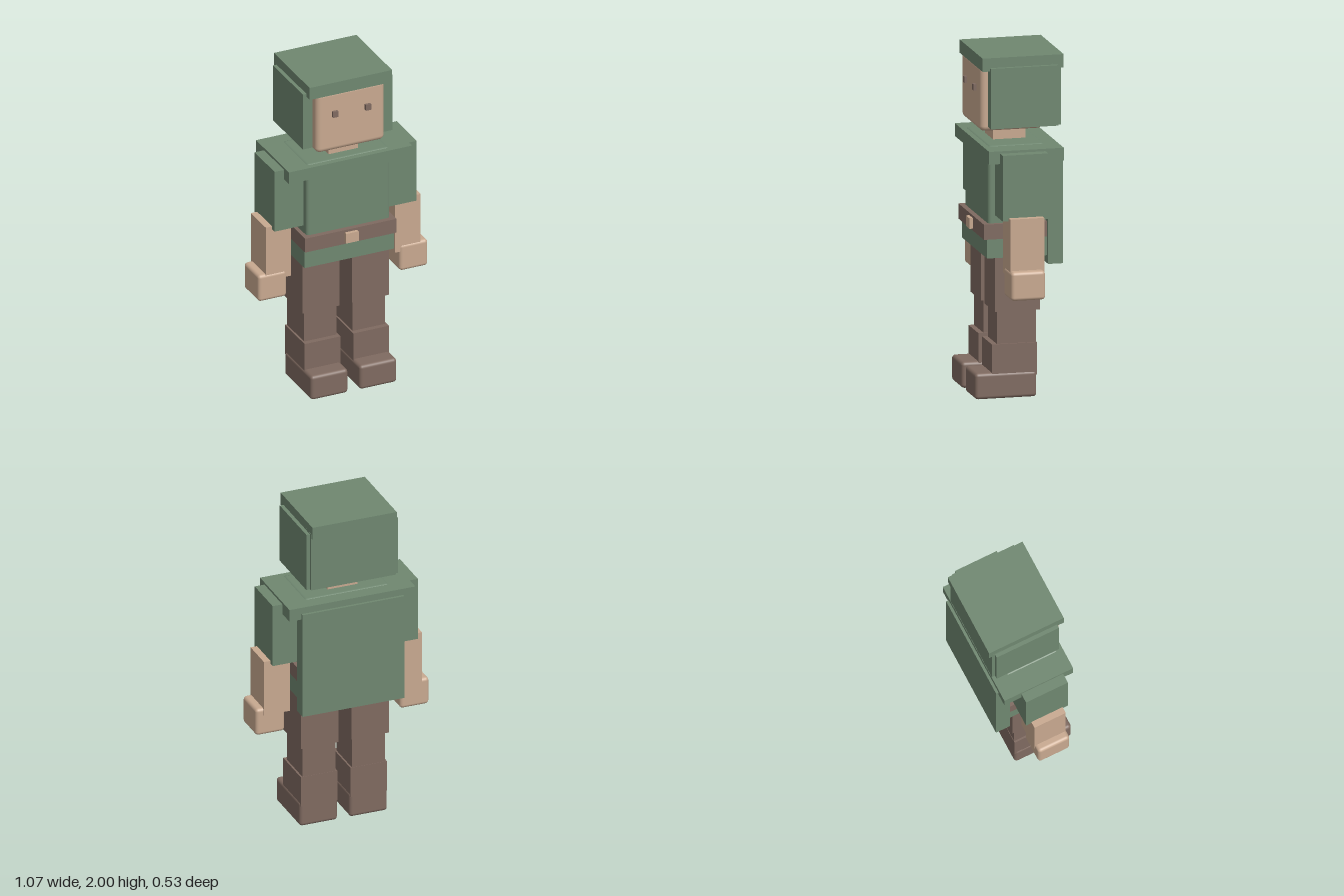
import * as THREE from 'three';
import { RoundedBoxGeometry } from 'three/addons/geometries/RoundedBoxGeometry.js';

export function createModel() {
  const model = new THREE.Group();
  model.name = 'hoodedFigure';

  const material = (name, color) => {
    const m = new THREE.MeshStandardMaterial({ color });
    m.name = name;
    return m;
  };
  const green = material('greenCloth', 0x6f8770);
  const brown = material('brownLeather', 0x7f6a60);
  const skin = material('skin', 0xc8a990);

  // Box given by its extents on each axis; a radius rounds the edges
  const box = (name, mat, [x0, x1], [y0, y1], [z0, z1], radius = 0) => {
    const size = [x1 - x0, y1 - y0, z1 - z0];
    const geometry = radius
      ? new RoundedBoxGeometry(...size, 3, radius)
      : new THREE.BoxGeometry(...size);
    const mesh = new THREE.Mesh(geometry, mat);
    mesh.name = name;
    mesh.position.set((x0 + x1) / 2, (y0 + y1) / 2, (z0 + z1) / 2);
    model.add(mesh);
  };
  // Box centred on x = 0
  const middle = (name, mat, half, y, z, radius) =>
    box(name, mat, [-half, half], y, z, radius);
  // Mirrored pair of boxes
  const pair = (name, mat, [x0, x1], y, z, radius) => {
    box('left' + name, mat, [x0, x1], y, z, radius);
    box('right' + name, mat, [-x1, -x0], y, z, radius);
  };

  // Head and hood
  middle('head', skin, 0.217, [1.56, 1.945], [-0.155, 0.218], 0.03);
  pair('Eye', brown, [0.087, 0.121], [1.783, 1.82], [0.2, 0.235]);
  middle('neck', skin, 0.093, [1.45, 1.6], [-0.08, 0.112]);
  middle('hoodTop', green, 0.261, [1.922, 2], [-0.263, 0.217]);
  pair('HoodSide', green, [0.222, 0.284], [1.587, 1.942], [-0.226, 0.174]);
  middle('hoodBack', green, 0.262, [1.589, 1.95], [-0.246, -0.165]);

  // Torso, mantle and cape
  middle('torso', green, 0.265, [0.88, 1.484], [-0.155, 0.186], 0.02);
  middle('mantle', green, 0.39, [1.405, 1.48], [-0.23, 0.212]);
  middle('cape', green, 0.315, [0.785, 1.44], [-0.246, -0.157]);
  middle('tunicHem', green, 0.284, [0.83, 0.96], [-0.158, 0.196]);
  middle('belt', brown, 0.29, [0.942, 1.031], [-0.16, 0.217]);
  middle('buckle', skin, 0.04, [0.954, 1.016], [0.2, 0.238]);

  // Arms
  pair('Sleeve', green, [0.268, 0.45], [1.08, 1.466], [-0.122, 0.147]);
  pair('Forearm', skin, [0.329, 0.49], [0.753, 1.098], [-0.088, 0.113]);
  pair('Hand', skin, [0.358, 0.537], [0.627, 0.796], [-0.084, 0.118], 0.02);

  // Legs and boots
  pair('Thigh', brown, [0.041, 0.273], [0.511, 0.86], [-0.12, 0.148]);
  pair('Shin', brown, [0.051, 0.256], [0.3, 0.53], [-0.1, 0.132]);
  pair('BootShaft', brown, [0.041, 0.267], [0.13, 0.319], [-0.102, 0.163]);
  pair('Foot', brown, [0.037, 0.272], [0, 0.153], [-0.102, 0.263], 0.02);

  return model;
}
